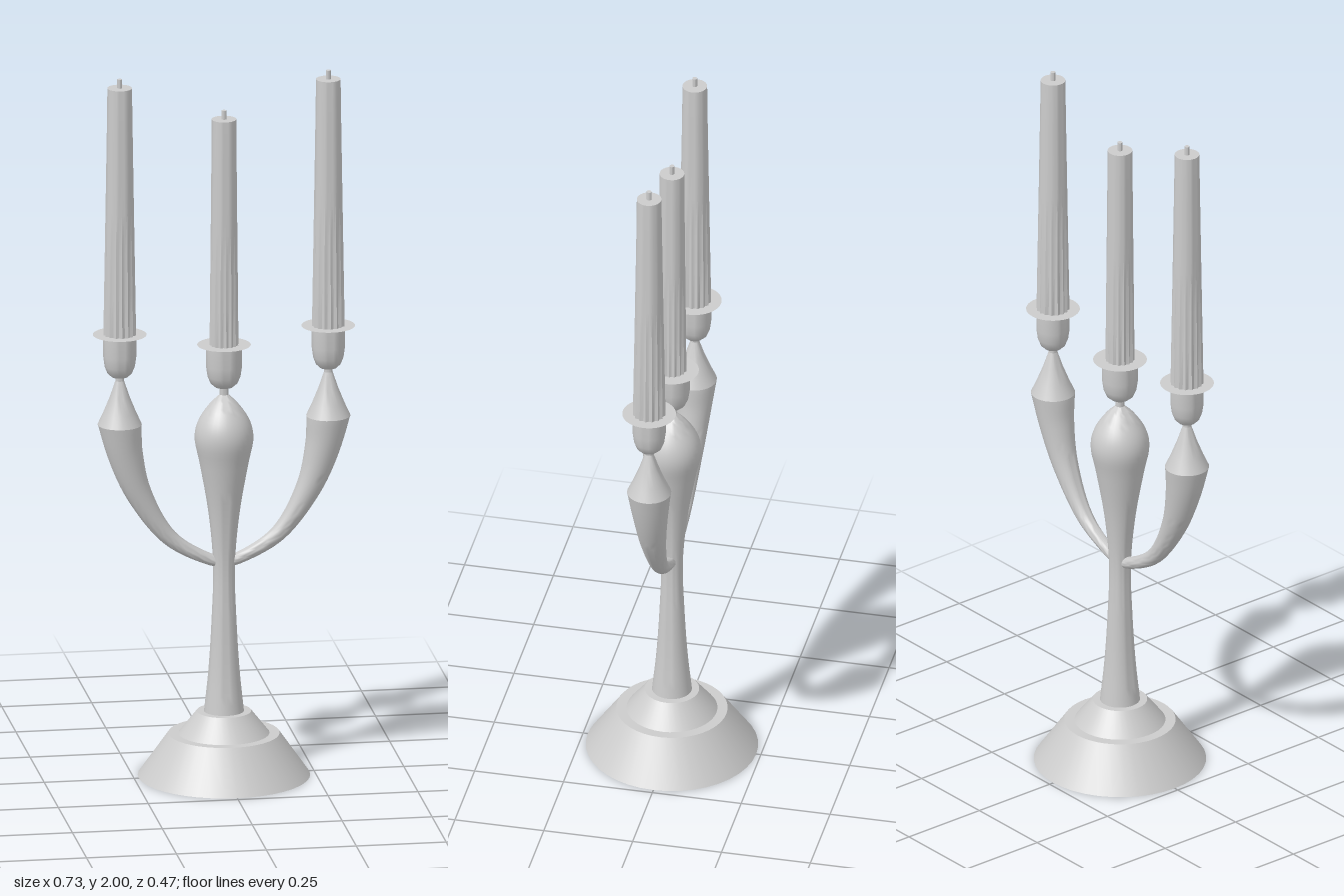
import * as THREE from 'three';
import { toCreasedNormals } from 'three/addons/utils/BufferGeometryUtils.js';

const material = new THREE.MeshStandardMaterial({ color: 0xcccccc, side: THREE.DoubleSide });

function addMesh(parent, name, geometry, crease = 0.6) {
  const mesh = new THREE.Mesh(toCreasedNormals(geometry, crease), material);
  mesh.name = name;
  parent.add(mesh);
  return mesh;
}

// Turned part from [radius, height] pairs, listed from bottom to top
function turned(parent, name, profile, segments = 32) {
  const points = profile.map(([r, y]) => new THREE.Vector2(r, y));
  return addMesh(parent, name, new THREE.LatheGeometry(points, segments));
}

// Smooth the profile through a few key points
function smoothProfile(keys, count) {
  const curve = new THREE.CatmullRomCurve3(keys.map(([r, y]) => new THREE.Vector3(r, y, 0)), false, 'centripetal');
  return curve.getPoints(count).map((p) => [p.x, p.y]);
}

// Cup, drip tray, fluted candle and wick; y = 0 is the underside of the cup
function createCandle(name, bottomRadius, cupRadius, candleHeight) {
  const group = new THREE.Group();
  group.name = name;
  const trayY = 0.12;
  turned(group, 'neck', [[0.012, -0.04], [0.012, 0.01]], 16);
  const k = cupRadius;
  turned(group, 'cup', [[0, 0], [k * 0.5, 0], [k * 0.75, 0.011], [k * 0.91, 0.03], [k, 0.06], [k, trayY]]);
  const tray = new THREE.RingGeometry(0.036, 0.074, 40);
  tray.rotateX(-Math.PI / 2);
  tray.translate(0, trayY, 0);
  addMesh(group, 'dripTray', tray);

  // Candle body: shallow flutes that fade out towards the top
  const flutes = 16;
  const body = new THREE.CylinderGeometry(0.034, bottomRadius, candleHeight, flutes * 2, 6);
  const pos = body.attributes.position;
  for (let i = 0; i < pos.count; i++) {
    const t = pos.getY(i) / candleHeight + 0.5;
    const angle = Math.atan2(pos.getX(i), pos.getZ(i));
    const scale = 1 + 0.06 * (1 - t) * Math.cos(angle * flutes);
    pos.setX(i, pos.getX(i) * scale);
    pos.setZ(i, pos.getZ(i) * scale);
  }
  body.translate(0, trayY + candleHeight / 2, 0);
  addMesh(group, 'candle', body, 0.8);

  const wick = new THREE.CylinderGeometry(0.007, 0.007, 0.03, 10);
  wick.translate(0, trayY + candleHeight + 0.01, 0);
  addMesh(group, 'wick', wick, 0.8);
  return group;
}

// Curved arm that widens from the stem to the shoulder below the candle
function armGeometry() {
  const path = new THREE.CatmullRomCurve3([
    [0, 0.608], [0.04, 0.618], [0.15, 0.683], [0.237, 0.815], [0.276, 0.935], [0.29, 1.015],
  ].map(([x, y]) => new THREE.Vector3(x, y, 0)));
  const rings = 28, sides = 24;
  const geometry = new THREE.TubeGeometry(path, rings, 1, sides, false);
  const pos = geometry.attributes.position;
  const v = new THREE.Vector3();
  for (let i = 0; i < pos.count; i++) {
    const t = Math.floor(i / (sides + 1)) / rings;
    const center = path.getPointAt(t);
    const radius = 0.016 + 0.045 * Math.pow(t, 1.7);
    v.fromBufferAttribute(pos, i).sub(center);
    // Level the last rings so the arm ends flat under its shoulder
    if (t > 0.8) v.y *= (1 - t) / 0.2;
    v.multiplyScalar(radius).add(center);
    pos.setXYZ(i, v.x, v.y, v.z);
  }
  return geometry;
}

export function createModel() {
  const model = new THREE.Group();
  model.name = 'candelabrum';

  // Hollow stepped foot, open underneath
  turned(model, 'base', [[0.237, 0], [0.153, 0.12], [0.125, 0.12], [0.075, 0.183], [0.045, 0.183]], 40);

  // Central stem swelling into a bulb
  turned(model, 'stem', smoothProfile([
    [0.055, 0.183], [0.043, 0.3], [0.034, 0.45], [0.03, 0.6], [0.043, 0.75],
    [0.067, 0.89], [0.081, 0.965], [0.072, 1.01], [0.04, 1.06], [0.012, 1.088],
  ], 40));

  const middle = createCandle('middleCandle', 0.038, 0.05, 0.645);
  middle.position.y = 1.11;
  model.add(middle);

  // Matching arms, shoulders and candles on both sides
  for (const side of [-1, 1]) {
    const branch = new THREE.Group();
    branch.name = side > 0 ? 'leftBranch' : 'rightBranch';
    addMesh(branch, 'arm', armGeometry());
    const shoulder = turned(branch, 'shoulder',
      [[0.061, 1.015], [0.045, 1.05], [0.027, 1.095], [0.012, 1.14]], 24);
    shoulder.position.x = 0.29;
    const candle = createCandle('sideCandle', 0.043, 0.046, 0.705);
    candle.position.set(0.29, 1.152, 0);
    branch.add(candle);
    // A half turn mirrors the branch
    if (side < 0) branch.rotation.y = Math.PI;
    model.add(branch);
  }
  return model;
}
